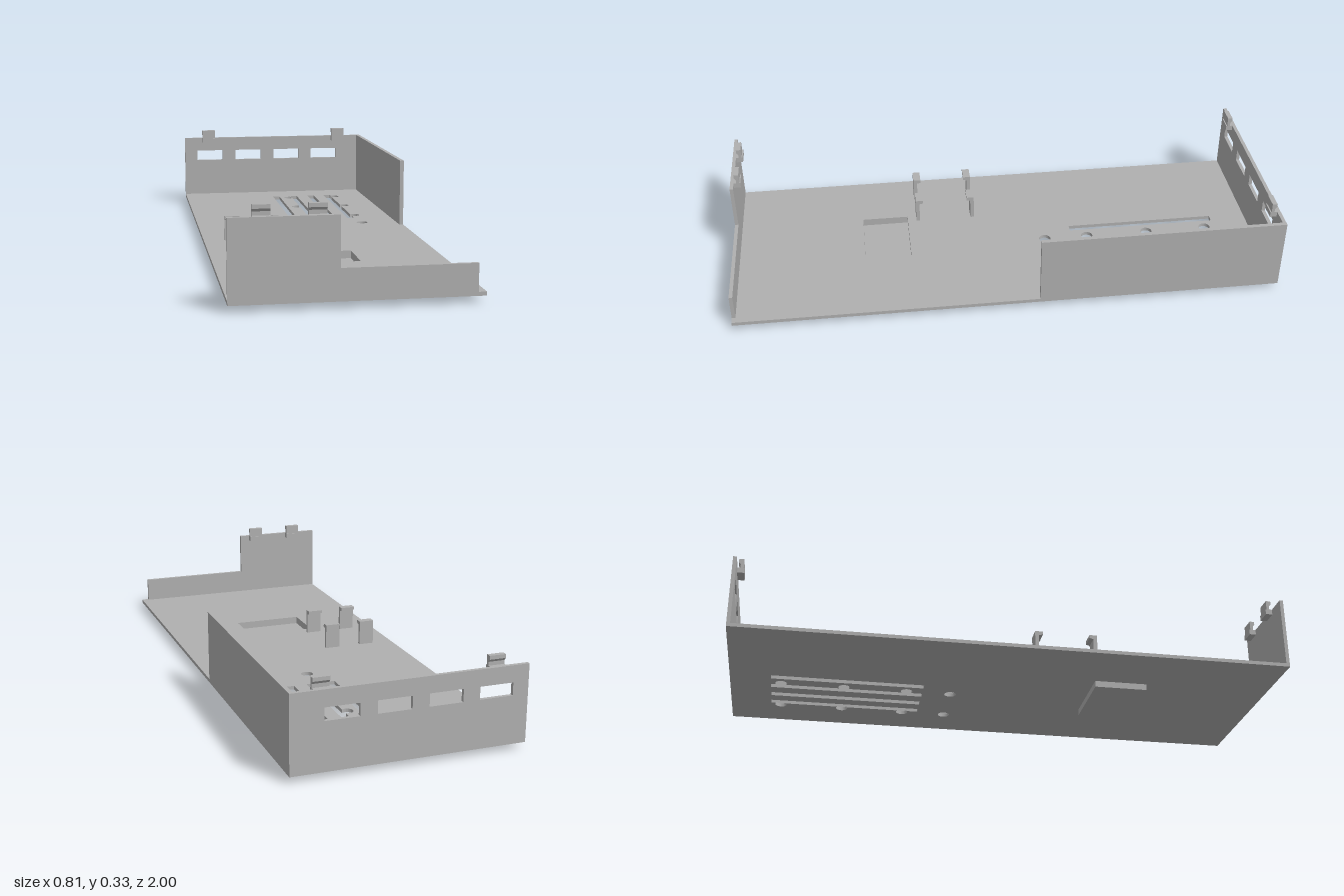
import * as THREE from 'three';

const FLOOR_TOP = 0.038, BASE = 0.025, TOP = 0.295, WALL = 0.013, HALF = 0.405;

export function createModel() {
  const model = new THREE.Group();
  model.name = 'enclosureTray';
  const grey = new THREE.MeshStandardMaterial({ color: 0xb0b0b0 });
  grey.name = 'greyPlastic';

  const add = (name, geometry) => {
    const mesh = new THREE.Mesh(geometry, grey);
    mesh.name = name;
    model.add(mesh);
    return mesh;
  };
  // Box given by its limits on each axis
  const box = (name, x0, x1, y0, y1, z0, z1) =>
    add(name, new THREE.BoxGeometry(x1 - x0, y1 - y0, z1 - z0)
      .translate((x0 + x1) / 2, (y0 + y1) / 2, (z0 + z1) / 2));
  const polygon = (Type, pts) => new Type(pts.map(([x, y]) => new THREE.Vector2(x, y)));
  const rect = (Type, x0, x1, y0, y1) => polygon(Type, [[x0, y0], [x1, y0], [x1, y1], [x0, y1]]);
  const extrude = (shape, depth) =>
    new THREE.ExtrudeGeometry(shape, { depth, bevelEnabled: false, curveSegments: 24 });
  // Plate drawn in x and z, hanging down from its top height
  const plate = (name, shape, top, depth) =>
    add(name, extrude(shape, depth).rotateX(Math.PI / 2).translate(0, top, 0));

  // Floor with vents, screw holes and pocket opening
  const floor = rect(THREE.Shape, -HALF, HALF, -1, 1);
  const pocketHole = () => rect(THREE.Path, -0.158, 0.104, 0.34, 0.515);
  floor.holes.push(pocketHole());
  const z0 = -0.85, z1 = -0.285;
  for (const x of [-0.02, 0.137]) floor.holes.push(rect(THREE.Path, x, x + 0.029, z0, z1));

  // Vent slots with three round bulges on the outer edge, mirrored about x = 0.15
  const r = 0.022, offset = 0.012, half = Math.acos(offset / r);
  for (const side of [-1, 1]) {
    const pts = [[0.062, z0], [0.09, z0]];
    for (const z of [-0.813, -0.58, -0.345]) {
      for (let i = 0; i <= 16; i++) {
        const a = -(Math.PI - half) + (i / 16) * 2 * (Math.PI - half);
        pts.push([0.09 + offset + r * Math.cos(a), z + r * Math.sin(a)]);
      }
    }
    pts.push([0.09, z1], [0.062, z1]);
    floor.holes.push(polygon(THREE.Path, pts.map(([x, z]) => [0.15 + side * x, z])));
    const hole = new THREE.Path();
    hole.absarc(0.15 + side * 0.102, -0.18, r, 0, Math.PI * 2);
    floor.holes.push(hole);
  }
  plate('floor', floor, FLOOR_TOP, FLOOR_TOP - BASE);

  // Pocket below the floor
  const rim = rect(THREE.Shape, -0.166, 0.114, 0.335, 0.53);
  rim.holes.push(pocketHole());
  plate('pocketRim', rim, BASE, BASE - 0.01);
  box('pocketBottom', -0.166, 0.114, 0.002, 0.01, 0.335, 0.53);

  // Stepped front wall
  const front = polygon(THREE.Shape, [[-HALF, BASE], [0.378, BASE], [0.378, 0.13],
    [-0.058, 0.13], [-0.058, TOP], [-HALF, TOP]]);
  add('frontWall', extrude(front, WALL).translate(0, 0, 1 - WALL));

  // Back wall with four windows
  const back = rect(THREE.Shape, -HALF, HALF, BASE, TOP);
  for (let i = 0; i < 4; i++) {
    const x = -0.35 + i * 0.175;
    back.holes.push(rect(THREE.Path, x, x + 0.117, 0.193, 0.237));
  }
  add('backWall', extrude(back, WALL).translate(0, 0, -1));

  // Partial side wall
  box('sideWall', 0.39, HALF, BASE, TOP, -1 + WALL, -0.11);

  // Hooked part: profile in distance and height, swept along x
  const hook = (name, x, width, z, dir, profile) => {
    const pts = profile.map(([d, y]) => [-(z + dir * d), y]);
    add(name, extrude(polygon(THREE.Shape, pts), width).rotateY(Math.PI / 2).translate(x, 0, 0));
  };

  // Lid clips on the inner face of the end walls
  const clip = [[0, 0.275], [-0.025, 0.275], [-0.025, 0.295], [-0.021, 0.295], [-0.021, 0.33],
    [-0.003, 0.33], [-0.003, 0.317], [-0.01, 0.308], [-0.01, 0.295], [0, 0.295]];
  for (const x of [-0.327, -0.153]) hook('frontClip', x, 0.057, 1 - WALL, 1, clip);
  for (const x of [-0.327, 0.268]) hook('backClip', x, 0.057, -1 + WALL, -1, clip);

  // Board posts with hooks facing each other
  const post = [[0, FLOOR_TOP], [0, 0.132], [-0.028, 0.132], [-0.028, 0.12],
    [-0.014, 0.116], [-0.014, FLOOR_TOP]];
  for (const x of [-0.327, -0.184]) {
    hook('frontPost', x, 0.057, 0.306, 1, post);
    hook('rearPost', x, 0.057, 0.078, -1, post);
  }
  return model;
}
